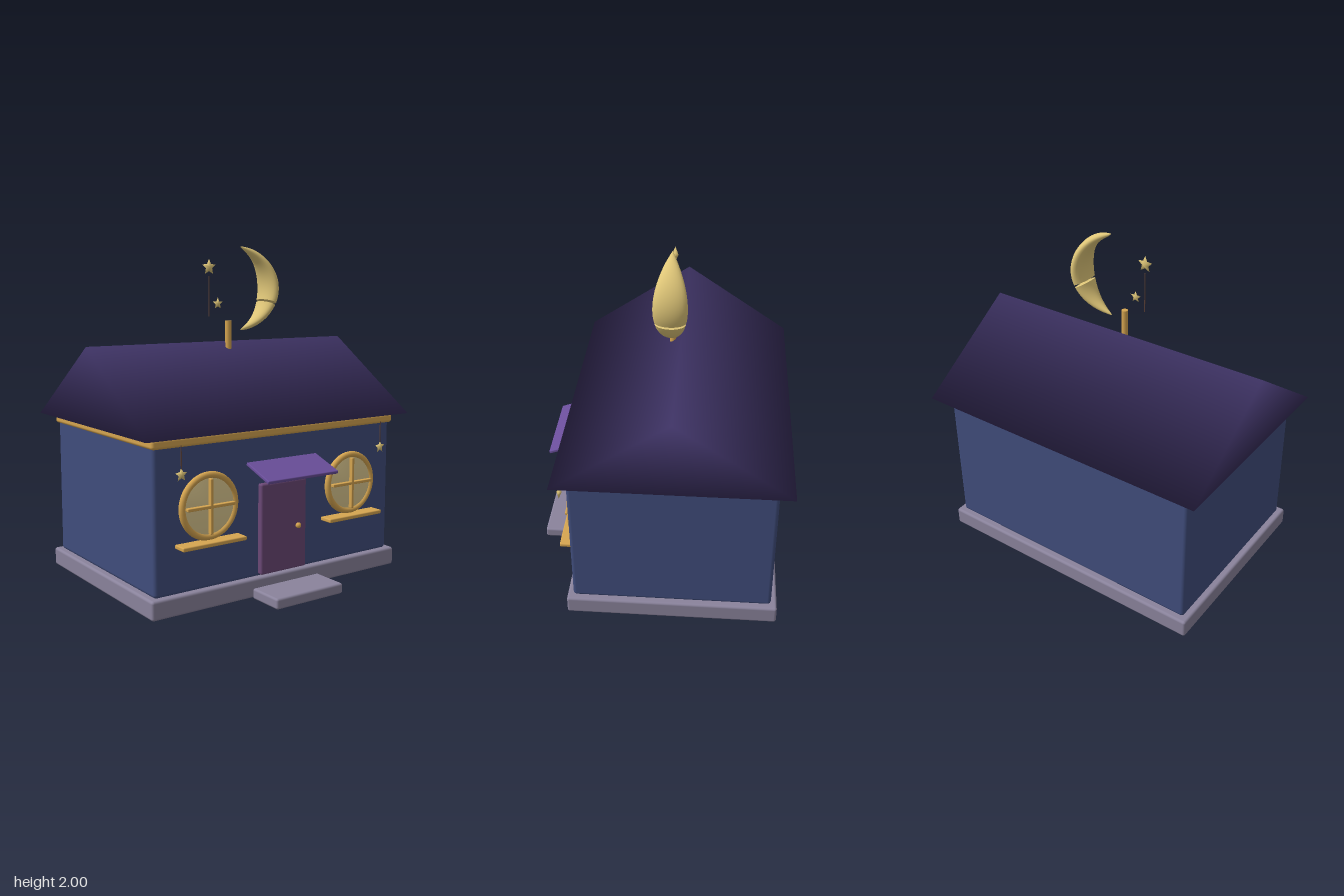
import * as THREE from 'three';
import { RoundedBoxGeometry } from 'three/addons/geometries/RoundedBoxGeometry.js';

const paint = (name, color, side = THREE.FrontSide) => {
  const m = new THREE.MeshStandardMaterial({ color, side });
  m.name = name;
  return m;
};

// Closed shape from indexed points with shared, smooth normals
function indexed(points, index) {
  const g = new THREE.BufferGeometry();
  g.setAttribute('position', new THREE.Float32BufferAttribute(points, 3));
  g.setIndex(index);
  g.computeVertexNormals();
  return g;
}

// Gable roof prism with softly blended normals
function roofGeometry(halfWidth, eave, ridge, front, back) {
  const mid = (front + back) / 2;
  const points = [-halfWidth, halfWidth].flatMap(x => [x, eave, front, x, eave, back, x, ridge, mid]);
  return indexed(points, [0, 3, 5, 0, 5, 2, 4, 1, 2, 4, 2, 5, 0, 1, 4, 0, 4, 3, 3, 4, 5, 0, 2, 1]);
}

// Puffed five-pointed star
function starGeometry(r, depth) {
  const points = [0, 0, depth, 0, 0, -depth], index = [];
  for (let i = 0; i < 10; i++) {
    const a = Math.PI / 2 + i * Math.PI / 5, q = i % 2 ? r * 0.47 : r, n = 2 + (i + 1) % 10;
    points.push(q * Math.cos(a), q * Math.sin(a), 0);
    index.push(0, 2 + i, n, 1, n, 2 + i);
  }
  return indexed(points, index);
}

// Crescent lofted from elliptical rings between two angles on an arc
function crescentGeometry(from, to, pinchAtStart, pinchAtEnd) {
  const R = 0.255, steps = 24, sides = 24, points = [], index = [];
  const rings = [];
  if (pinchAtStart) rings.push([from - 0.035, 0.25], [from, 1]);
  for (let i = 0; i <= steps; i++) rings.push([from + (to - from) * i / steps, 1]);
  if (pinchAtEnd) rings.push([to, 1], [to + 0.035, 0.25]);
  rings.forEach(([a, s]) => {
    const c = Math.max(Math.cos(a), 0.002), w = 0.041 * Math.pow(c, 0.6), b = 0.097 * c;
    for (let j = 0; j < sides; j++) {
      const p = j / sides * Math.PI * 2, q = R - w + s * w * Math.cos(p);
      points.push(q * Math.cos(a), q * Math.sin(a), s * b * Math.sin(p));
    }
  });
  for (let i = 0; i < rings.length - 1; i++)
    for (let j = 0; j < sides; j++) {
      const a = i * sides + j, b = i * sides + (j + 1) % sides;
      index.push(a, a + sides, b, b, a + sides, b + sides);
    }
  return indexed(points, index);
}

export function createModel() {
  const model = new THREE.Group();
  model.name = 'cottage';
  const stone = paint('stone', 0x8a839c);
  const wall = paint('blueWall', 0x404d7c);
  const roof = paint('roofPurple', 0x3d3263);
  const gold = paint('gold', 0xd6a550);
  const pale = paint('paleGold', 0xdfc678, THREE.DoubleSide);
  const glass = paint('windowGlow', 0xdfcb92);
  const plum = paint('doorPlum', 0x6b4876);
  const violet = paint('awningViolet', 0x6b4f9c);
  const cord = paint('cord', 0x5a4038);

  const add = (name, geometry, material, x, y, z, parent = model) => {
    const m = new THREE.Mesh(geometry, material);
    m.name = name;
    m.position.set(x, y, z);
    parent.add(m);
    return m;
  };
  // Rounded box given by its limits
  const block = (name, material, x0, x1, y0, y1, z0, z1, r, parent) =>
    add(name, new RoundedBoxGeometry(x1 - x0, y1 - y0, z1 - z0, 3, r), material,
      (x0 + x1) / 2, (y0 + y1) / 2, (z0 + z1) / 2, parent);

  // House body
  block('foundation', stone, -0.885, 0.885, 0, 0.11, -0.715, 0.525, 0.015);
  block('walls', wall, -0.85, 0.85, 0.105, 0.97, -0.68, 0.49, 0.022);
  block('eaveTrim', gold, -0.865, 0.865, 0.917, 0.972, -0.695, 0.508, 0.018);
  add('roof', roofGeometry(0.935, 0.975, 1.425, 0.57, -0.76), roof, 0, 0, 0);

  // Entrance
  block('step', stone, -0.24, 0.24, 0.003, 0.065, 0.54, 0.768, 0.013);
  block('door', plum, -0.165, 0.163, 0.12, 0.652, 0.47, 0.523, 0.012);
  add('doorKnob', new THREE.SphereGeometry(0.017, 16, 12), gold, 0.098, 0.377, 0.53);
  const awning = block('awning', violet, -0.252, 0.252, 0.73, 0.75, 0.487, 0.705, 0.006);
  awning.rotation.x = 0.35;

  // Round windows with hanging stars beside them
  for (const side of [-1, 1]) {
    const win = new THREE.Group();
    win.name = side < 0 ? 'rightWindow' : 'leftWindow';
    win.position.set(side * 0.513, 0.577, 0);
    model.add(win);
    add('frame', new THREE.TorusGeometry(0.173, 0.019, 12, 48), gold, 0, 0, 0.508, win);
    const disc = [[0.16, 0], [0.16, 0.03], [0, 0.03]].map(p => new THREE.Vector2(...p));
    add('pane', new THREE.LatheGeometry(disc, 48), glass, 0, 0, 0.487, win).rotation.x = Math.PI / 2;
    block('crossBar', gold, -0.155, 0.155, -0.009, 0.009, 0.51, 0.542, 0.004, win);
    block('uprightBar', gold, -0.009, 0.009, -0.155, 0.155, 0.51, 0.542, 0.004, win);
    block('sill', gold, -0.208, 0.208, -0.212, -0.188, 0.487, 0.577, 0.007, win);

    add('hangingCord', new THREE.CylinderGeometry(0.003, 0.003, 0.13, 8), cord, side * 0.717, 0.873, 0.555);
    add('hangingStar', starGeometry(0.039, 0.015), pale, side * 0.717, 0.782, 0.555);
  }

  // Ridge ornament: post, crescent moon and stars
  const z = -0.045;
  add('post', new THREE.CylinderGeometry(0.019, 0.019, 0.175, 16), gold, 0, 1.463, z);
  add('moonUpper', crescentGeometry(-0.38, Math.PI / 2, true, false), pale, 0.09, 1.745, z);
  add('moonLower', crescentGeometry(-Math.PI / 2, -0.45, false, true), pale, 0.09, 1.745, z);
  add('largeStar', starGeometry(0.05, 0.019), pale, -0.14, 1.873, z);
  add('smallStar', starGeometry(0.036, 0.014), pale, -0.077, 1.656, z);
  add('starCord', new THREE.CylinderGeometry(0.003, 0.003, 0.24, 8), cord, -0.14, 1.7, z);

  return model;
}
